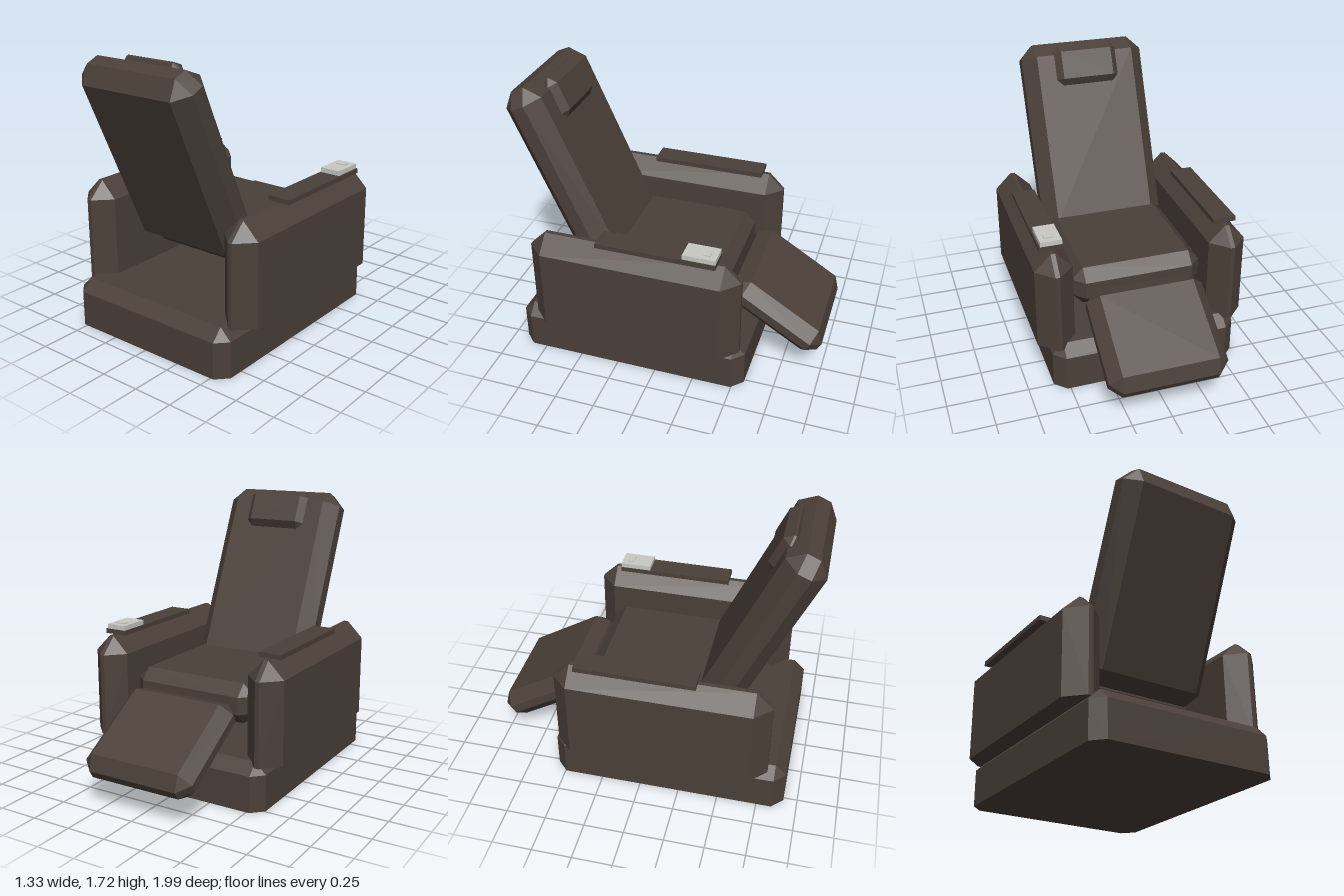
import * as THREE from 'three';
import { ConvexGeometry } from 'three/addons/geometries/ConvexGeometry.js';

const upholstery = new THREE.MeshStandardMaterial({ color: 0x4b4039 });
upholstery.name = 'brown upholstery';
const plastic = new THREE.MeshStandardMaterial({ color: 0xc8c9c3 });
plastic.name = 'light grey plastic';

// Box with its edges cut at 45 degrees; the bottom edges may stay sharp
function chamferedBox(w, h, d, c, flatBottom = false) {
  const x = w / 2, y = h / 2, z = d / 2;
  const points = [];
  for (const sx of [-1, 1]) for (const sz of [-1, 1]) for (const sy of [-1, 1]) {
    const sharp = flatBottom && sy < 0;
    const yc = sharp ? y : y - c;
    points.push(new THREE.Vector3(sx * x, sy * yc, sz * (z - c)));
    points.push(new THREE.Vector3(sx * (x - c), sy * yc, sz * z));
    if (!sharp) points.push(new THREE.Vector3(sx * (x - c), sy * y, sz * (z - c)));
  }
  return new ConvexGeometry(points);
}

function addPart(parent, name, geometry, material, x, y, z, tilt = 0) {
  const mesh = new THREE.Mesh(geometry, material);
  mesh.name = name;
  mesh.position.set(x, y, z);
  mesh.rotation.x = THREE.MathUtils.degToRad(tilt);
  parent.add(mesh);
  return mesh;
}

export function createModel() {
  const chair = new THREE.Group();
  chair.name = 'recliner';

  // Plinth and seat cushion
  addPart(chair, 'base', chamferedBox(1.18, 0.295, 1.48, 0.07, true), upholstery, 0, 0.1475, 0.175);
  addPart(chair, 'seat', chamferedBox(0.826, 0.25, 0.825, 0.071), upholstery, 0, 0.567, 0.0175);

  // Reclined back with its head pillow
  const back = addPart(chair, 'backrest', chamferedBox(0.824, 1.268, 0.26, 0.087), upholstery, 0, 1.118, 0.6585, 24);
  addPart(back, 'headPillow', chamferedBox(0.43, 0.27, 0.105, 0.046), upholstery, 0, 0.472, -0.118);

  // Raised leg rest
  addPart(chair, 'footrest', chamferedBox(0.74, 0.2, 0.665, 0.073), upholstery, 0, 0.389, -0.697, -31.8);

  // Arms with flat pads on top
  for (const [side, s] of [['left', 1], ['right', -1]]) {
    addPart(chair, side + 'Arm', chamferedBox(0.234, 0.62, 1.335, 0.103, true), upholstery, s * 0.548, 0.58, 0.1325);
    addPart(chair, side + 'ArmPad', new THREE.BoxGeometry(0.146, 0.03, 0.74), upholstery, s * 0.548, 0.905, -0.02);
  }

  // Remote control resting on the left arm
  addPart(chair, 'remote', new THREE.BoxGeometry(0.132, 0.03, 0.2), plastic, 0.545, 0.935, -0.288);
  addPart(chair, 'remoteButton', new THREE.BoxGeometry(0.066, 0.006, 0.04), plastic, 0.545, 0.953, -0.328);

  return chair;
}
